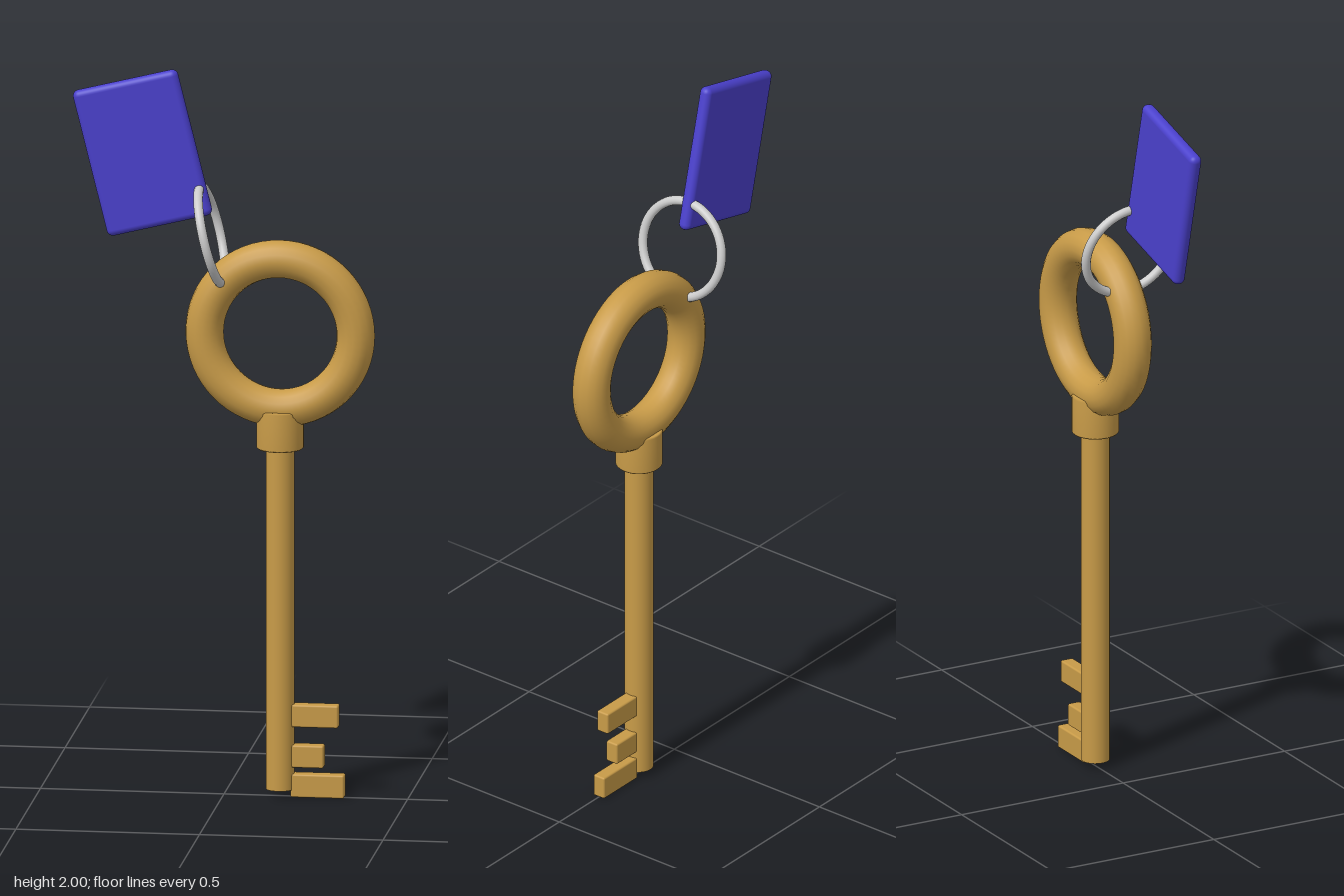
import * as THREE from 'three';
import { RoundedBoxGeometry } from 'three/addons/geometries/RoundedBoxGeometry.js';

export function createModel() {
  const model = new THREE.Group();
  const brass = new THREE.MeshStandardMaterial({ color: 0xc89b48 });
  const blue = new THREE.MeshStandardMaterial({ color: 0x4a40cc });
  const steel = new THREE.MeshStandardMaterial({ color: 0xcccccc });

  const add = (parent, name, geometry, material, x, y) => {
    const mesh = new THREE.Mesh(geometry, material);
    mesh.name = name;
    mesh.position.set(x, y, 0);
    parent.add(mesh);
    return mesh;
  };

  // Key: ring-shaped bow, collar and shaft share one axis
  const key = new THREE.Group();
  key.name = 'key';
  key.position.x = 0.153;
  model.add(key);
  add(key, 'bow', new THREE.TorusGeometry(0.206, 0.052, 16, 64), brass, 0, 1.28);
  // Collar with slightly softened rims
  const collar = [[0, 0.962], [0.06, 0.962], [0.064, 0.966], [0.064, 1.066], [0.06, 1.07], [0, 1.07]];
  const collarShape = new THREE.LatheGeometry(
    collar.map(([r, y]) => new THREE.Vector2(r, y)), 32);
  add(key, 'collar', collarShape, brass, 0, 0);
  add(key, 'shaft', new THREE.CylinderGeometry(0.039, 0.039, 0.98, 32), brass, 0, 0.51);

  // Teeth: [length, centre height]
  const teeth = [[0.13, 0.225], [0.09, 0.113], [0.146, 0.035]];
  for (const [length, y] of teeth) {
    const height = y < 0.1 ? 0.064 : 0.062;
    add(key, 'tooth', new RoundedBoxGeometry(length, height, 0.038, 2, 0.005),
      brass, 0.03 + length / 2, y - (y < 0.1 ? 0.003 : 0));
  }

  // Split ring and tag lean together
  const lean = THREE.MathUtils.degToRad(14);
  const ring = add(model, 'keyRing',
    new THREE.TorusGeometry(0.133, 0.013, 12, 64).rotateY(Math.PI / 2), steel, -0.034, 1.546);
  ring.rotation.z = lean;
  const tag = add(model, 'tag',
    new RoundedBoxGeometry(0.294, 0.412, 0.036, 4, 0.017), blue, -0.222, 1.769);
  tag.rotation.z = lean;

  return model;
}
